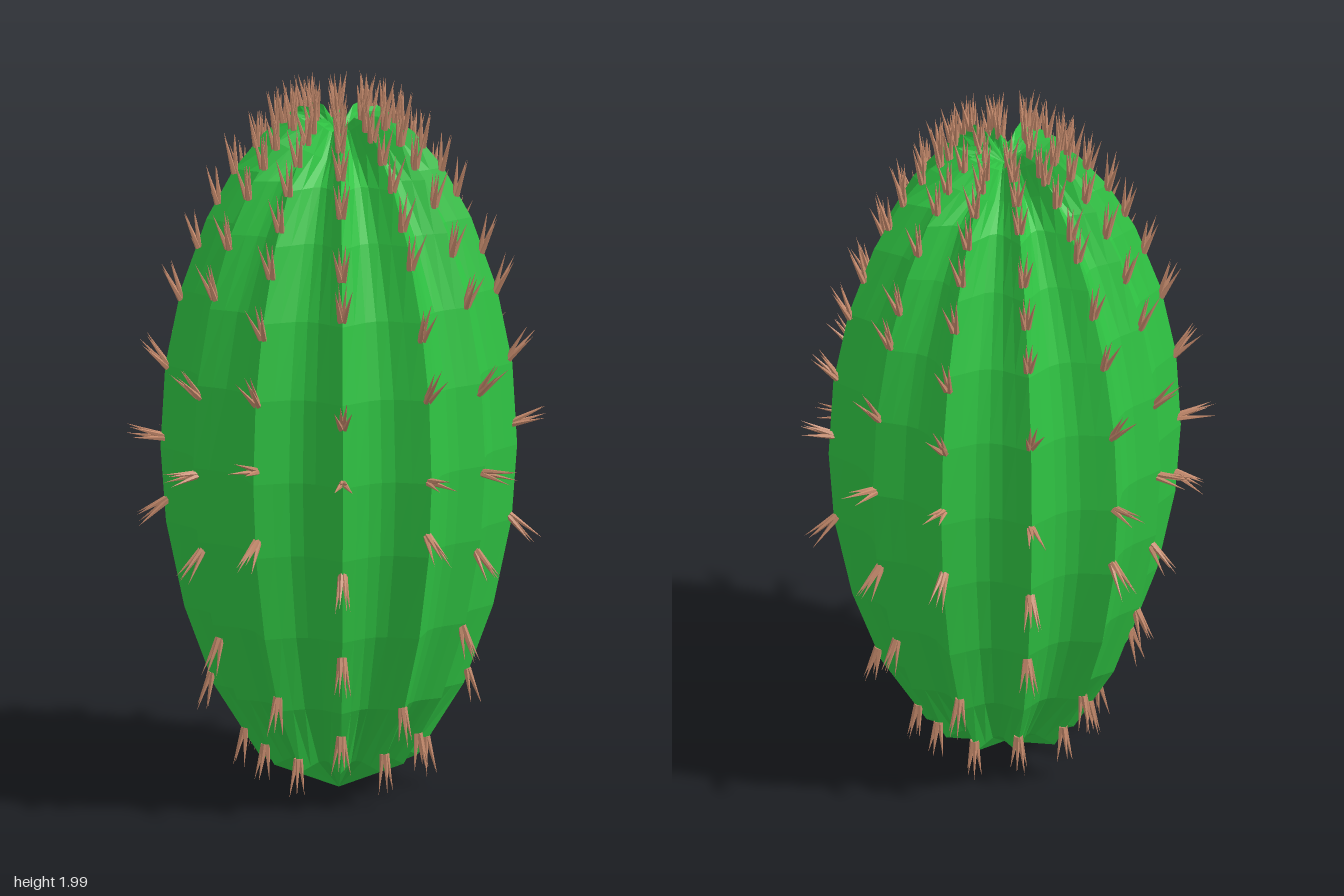
import * as THREE from 'three';
import { mergeGeometries } from 'three/addons/utils/BufferGeometryUtils.js';

const RIBS = 12, STEPS = 6; // steps around per rib
// crest profile [radius, height, groove depth], bottom tip to sunken crown
const PROFILE = [
  [0, 0.01, 0], [0.215, 0.1, 0.05], [0.34, 0.3, 0.06], [0.42, 0.52, 0.065], [0.47, 0.76, 0.07],
  [0.485, 0.97, 0.07], [0.472, 1.2, 0.07], [0.43, 1.41, 0.07], [0.36, 1.61, 0.075], [0.285, 1.75, 0.075],
  [0.205, 1.85, 0.07], [0.13, 1.91, 0.055], [0.08, 1.91, 0.04], [0, 1.85, 0],
];
const RIB_SCALE = [1, 0.955, 1, 0.935, 1, 0.955]; // repeats on the opposite side
const CREST = [1, 0.5, 0.12, 0, 0.12, 0.5];       // rib cross-section, crest to groove

let seed = 7;
const rand = () => (seed = (seed * 16807) % 2147483647) / 2147483647;

function bodyGeometry() {
  const n = RIBS * STEPS, pos = [], idx = [];
  PROFILE.forEach(([r, y, depth], row) => {
    for (let j = 0; j < n; j++) {
      const a = (j / n) * Math.PI * 2, k = CREST[j % STEPS];
      const rib = RIB_SCALE[Math.round(j / STEPS) % 6];
      const rad = (r - depth) * (1 - k) + r * rib * k;
      // grooves sit a little higher on the underside and lower at the crown
      const lift = row === 1 ? 0.025 : row >= 10 && row < 13 ? -0.04 : 0;
      pos.push(Math.sin(a) * rad, y + lift * (1 - k), Math.cos(a) * rad);
    }
  });
  for (let i = 0; i < PROFILE.length - 1; i++) {
    for (let j = 0; j < n; j++) {
      const a = i * n + j, b = i * n + (j + 1) % n;
      if (i > 0) idx.push(a, b, b + n);
      if (i < PROFILE.length - 2) idx.push(a, b + n, a + n);
      else if (i === 0) idx.push(a, b + n, a + n);
    }
  }
  const g = new THREE.BufferGeometry();
  g.setAttribute('position', new THREE.Float32BufferAttribute(pos, 3));
  g.setIndex(idx);
  const flat = g.toNonIndexed();
  flat.computeVertexNormals();
  return flat;
}

// crest radius at a given height
function crestRadius(y) {
  for (let i = 1; i < PROFILE.length; i++) {
    const [r0, y0] = PROFILE[i - 1], [r1, y1] = PROFILE[i];
    if (y <= y1) return r0 + (r1 - r0) * (y - y0) / (y1 - y0);
  }
  return 0.1;
}

const UP = new THREE.Vector3(0, 1, 0);

// four splayed cones growing from one point of a rib crest
function spineCluster(angle, r, y) {
  const out = new THREE.Vector3(Math.sin(angle), 0, Math.cos(angle));
  const side = new THREE.Vector3(Math.cos(angle), 0, -Math.sin(angle));
  const main = out.clone().multiplyScalar(Math.max(r, 0.1)).addScaledVector(UP, 2.3 * (y - 0.96)).normalize();
  const across = new THREE.Vector3().crossVectors(main, side).normalize();
  return [[-1, -0.5], [1, -0.5], [-0.4, 0.7], [0.45, 0.6]].map(([s, t]) => {
    const len = 0.095 + 0.02 * rand();
    const dir = main.clone().addScaledVector(side, s * (0.14 + 0.08 * rand()))
      .addScaledVector(across, t * 0.18).normalize();
    const cone = new THREE.ConeGeometry(0.0085, len, 5);
    cone.translate(0, len / 2 - 0.012, 0);
    cone.applyQuaternion(new THREE.Quaternion().setFromUnitVectors(UP, dir));
    const base = out.clone().multiplyScalar(r).addScaledVector(UP, y)
      .addScaledVector(side, s * 0.007).addScaledVector(across, t * 0.007);
    return cone.translate(base.x, base.y, base.z);
  });
}

// cluster heights: even ribs, odd ribs
const HEIGHTS = [
  [0.13, 0.33, 0.8, 1.01, 1.2, 1.38, 1.54, 1.66, 1.75, 1.82, 1.87, 1.895],
  [0.18, 0.5, 0.72, 0.95, 1.18, 1.42, 1.56, 1.69, 1.79, 1.85, 1.89],
];

export function createModel() {
  const model = new THREE.Group();
  model.name = 'cactus';

  const body = new THREE.Mesh(bodyGeometry(),
    new THREE.MeshStandardMaterial({ color: 0x2fc443, flatShading: true }));
  body.name = 'ribbedBody';
  model.add(body);

  const spineMaterial = new THREE.MeshStandardMaterial({ color: 0xc58a6c, flatShading: true });
  for (let i = 0; i < RIBS; i++) {
    const angle = (i / RIBS) * Math.PI * 2, cones = [];
    for (const h of HEIGHTS[i % 2]) {
      const jitter = i % 3 === 0 ? 0 : (rand() - 0.5) * (h > 1.7 ? 0.015 : 0.08);
      const y = Math.min(h + jitter, 1.9);
      const r = crestRadius(y) * RIB_SCALE[i % 6];
      cones.push(...spineCluster(angle, r, y));
    }
    // inner crown spines on every other rib
    if (i % 2) cones.push(...spineCluster(angle, 0.075, 1.895));
    const spines = new THREE.Mesh(mergeGeometries(cones), spineMaterial);
    spines.name = `ribSpines${i + 1}`;
    model.add(spines);
  }
  model.position.x = 0.012;
  return model;
}
